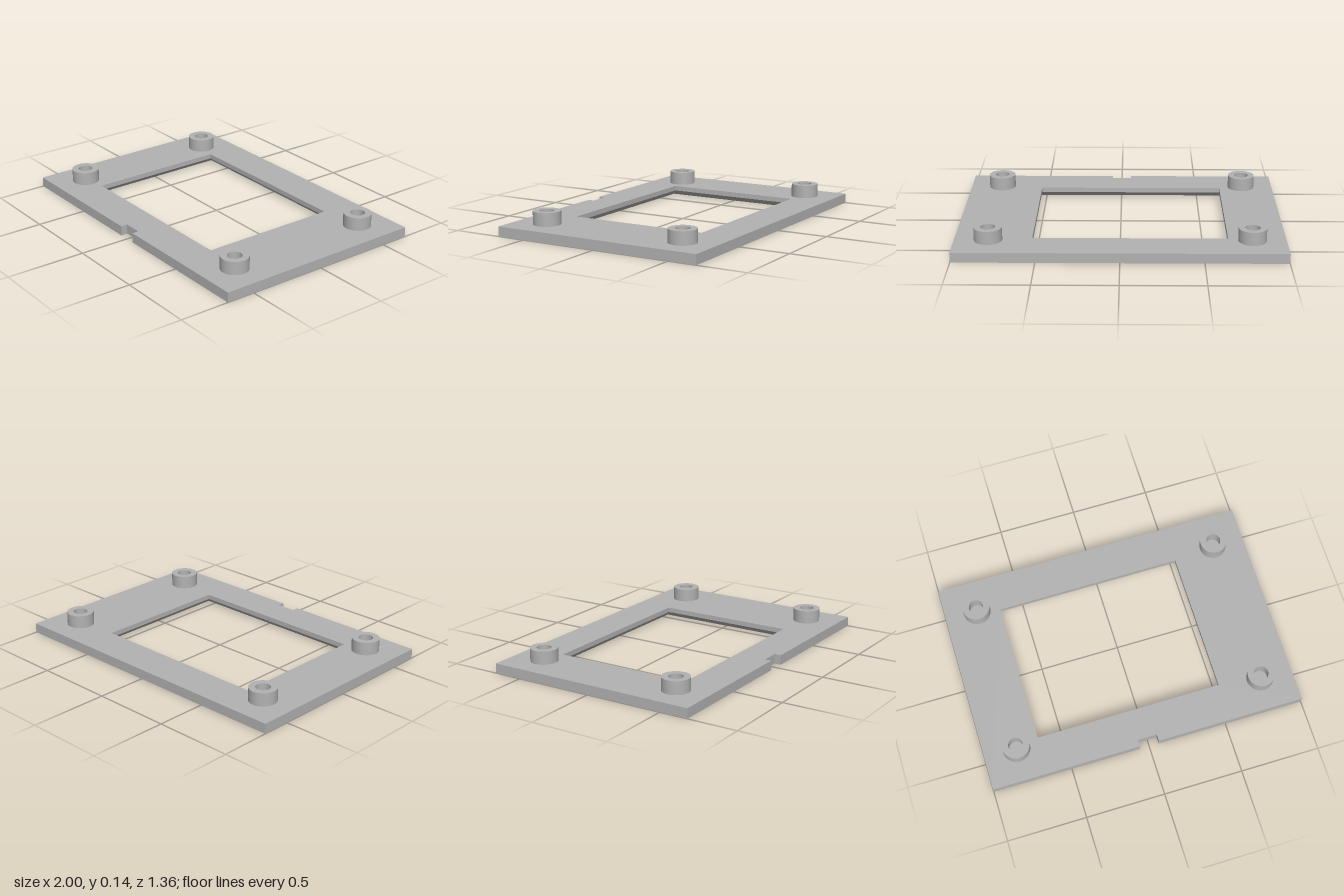
import * as THREE from 'three';
import { toCreasedNormals } from 'three/addons/utils/BufferGeometryUtils.js';

const THICK = 0.062, HALF_Z = 0.682;
const WIN = { x0: -0.65, x1: 0.53, z: 0.445 };
const CHAMFER = 0.03;

// Flat frame with a front notch and a window chamfered on its underside
function plateGeometry() {
  const outline = [
    [-1, -HALF_Z], [-0.061, -HALF_Z], [-0.061, -0.64], [0.061, -0.64],
    [0.061, -HALF_Z], [1, -HALF_Z], [1, HALF_Z], [-1, HALF_Z],
  ];
  const opening = [[WIN.x0, -WIN.z], [WIN.x0, WIN.z], [WIN.x1, WIN.z], [WIN.x1, -WIN.z]];
  const toPoints = (list) => list.map(([x, y]) => new THREE.Vector2(x, y));
  const shape = new THREE.Shape(toPoints(outline));
  shape.holes.push(new THREE.Path(toPoints(opening)));

  const geo = new THREE.ExtrudeGeometry(shape, { depth: THICK, steps: 2, bevelEnabled: false });
  geo.rotateX(-Math.PI / 2);

  // Widen the window on the bottom layer only
  const pos = geo.attributes.position;
  const midX = (WIN.x0 + WIN.x1) / 2;
  for (let i = 0; i < pos.count; i++) {
    const x = pos.getX(i), z = pos.getZ(i);
    const onWindow = x > WIN.x0 - 0.01 && x < WIN.x1 + 0.01 && Math.abs(z) < WIN.z + 0.01;
    if (pos.getY(i) < 0.001 && onWindow) {
      pos.setX(i, x + Math.sign(x - midX) * CHAMFER);
      pos.setZ(i, z + Math.sign(z) * CHAMFER);
    }
  }
  geo.computeVertexNormals();
  return geo;
}

// Hollow standoff; the plate forms the floor of its bore
function standoffGeometry() {
  const top = 0.145, outer = 0.0855, bore = 0.045;
  const profile = [[outer, THICK], [outer, top], [bore, top], [bore, THICK]]
    .map(([r, y]) => new THREE.Vector2(r, y));
  return toCreasedNormals(new THREE.LatheGeometry(profile, 48), 0.6);
}

export function createModel() {
  const model = new THREE.Group();
  model.name = 'mountingFrame';

  const grey = new THREE.MeshStandardMaterial({ color: 0xb2b2b2 });
  grey.name = 'grey';

  const plate = new THREE.Mesh(plateGeometry(), grey);
  plate.name = 'framePlate';
  model.add(plate);

  // One standoff near each corner
  const standoff = standoffGeometry();
  for (const sx of [-1, 1]) {
    for (const sz of [-1, 1]) {
      const mesh = new THREE.Mesh(standoff, grey);
      mesh.name = (sz > 0 ? 'front' : 'back') + (sx > 0 ? 'Left' : 'Right') + 'Standoff';
      mesh.position.set(sx * 0.794, 0, sz * 0.474);
      model.add(mesh);
    }
  }
  return model;
}
